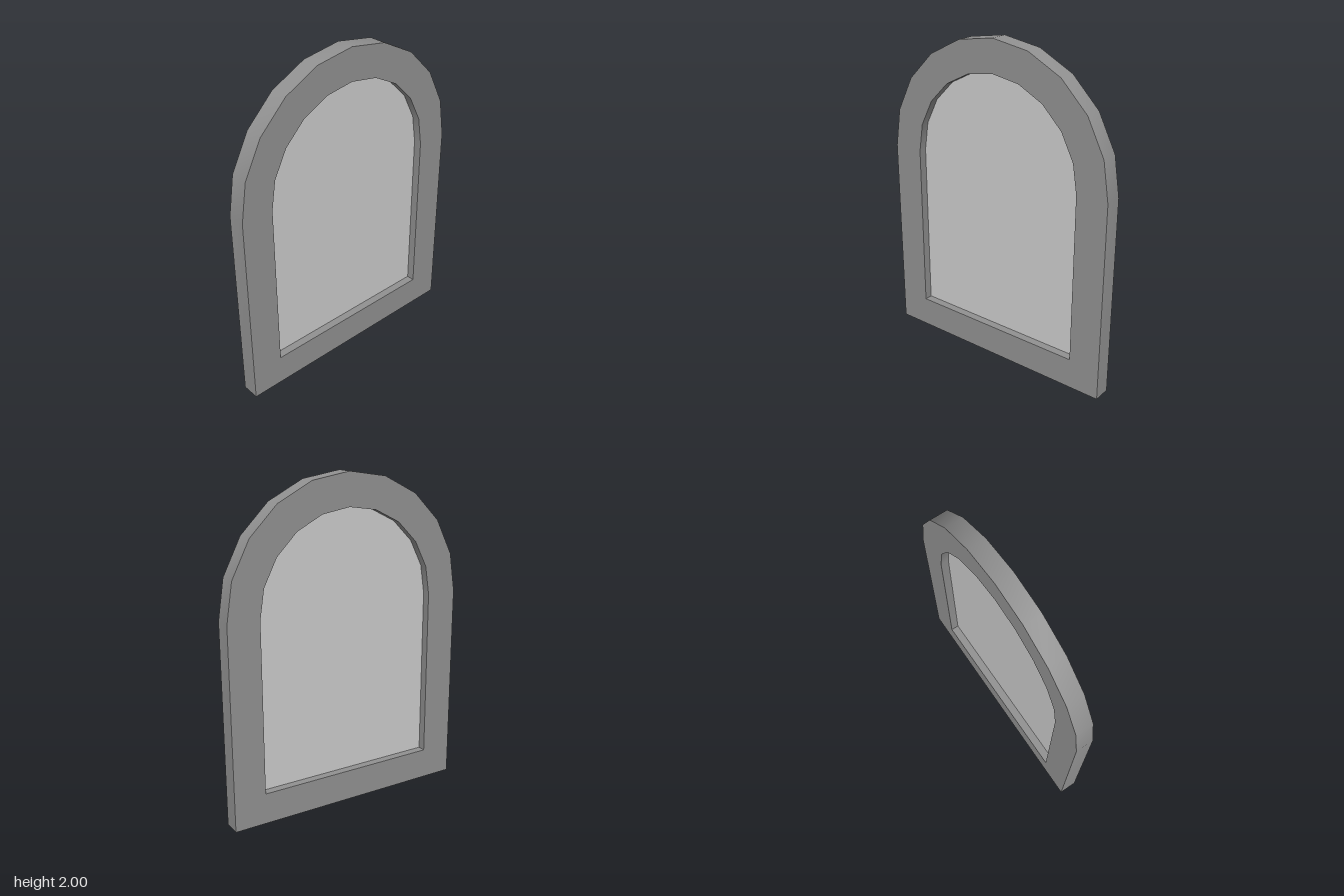
import * as THREE from 'three';
import { toCreasedNormals } from 'three/addons/utils/BufferGeometryUtils.js';

const SPRING_Y = 1.23; // height where the arch begins
const ARCH_STEPS = 10;

// Round-headed outline: straight sides below a faceted semicircle
function archPoints(radius, bottom) {
  const points = [new THREE.Vector2(-radius, bottom), new THREE.Vector2(radius, bottom)];
  for (let i = 0; i <= ARCH_STEPS; i++) {
    const a = (i / ARCH_STEPS) * Math.PI;
    points.push(new THREE.Vector2(radius * Math.cos(a), SPRING_Y + radius * Math.sin(a)));
  }
  return points;
}

// Extrude centred on z = 0, smooth around the arch and sharp at the corners
function slab(name, shape, depth, color) {
  const geometry = new THREE.ExtrudeGeometry(shape, { depth, bevelEnabled: false });
  geometry.translate(0, 0, -depth / 2);
  const material = new THREE.MeshStandardMaterial({ color });
  const mesh = new THREE.Mesh(toCreasedNormals(geometry, 0.6), material);
  mesh.name = name;
  return mesh;
}

export function createModel() {
  const group = new THREE.Group();
  group.name = 'archedWindow';

  // Frame with an arched opening
  const frameShape = new THREE.Shape(archPoints(0.77, 0));
  frameShape.holes.push(new THREE.Path(archPoints(0.573, 0.19)));
  group.add(slab('frame', frameShape, 0.11, 0x919191));

  // Thin pane in the middle of the frame, its rim tucked against the opening
  group.add(slab('pane', new THREE.Shape(archPoints(0.573, 0.19)), 0.01, 0xcccccc));

  return group;
}
